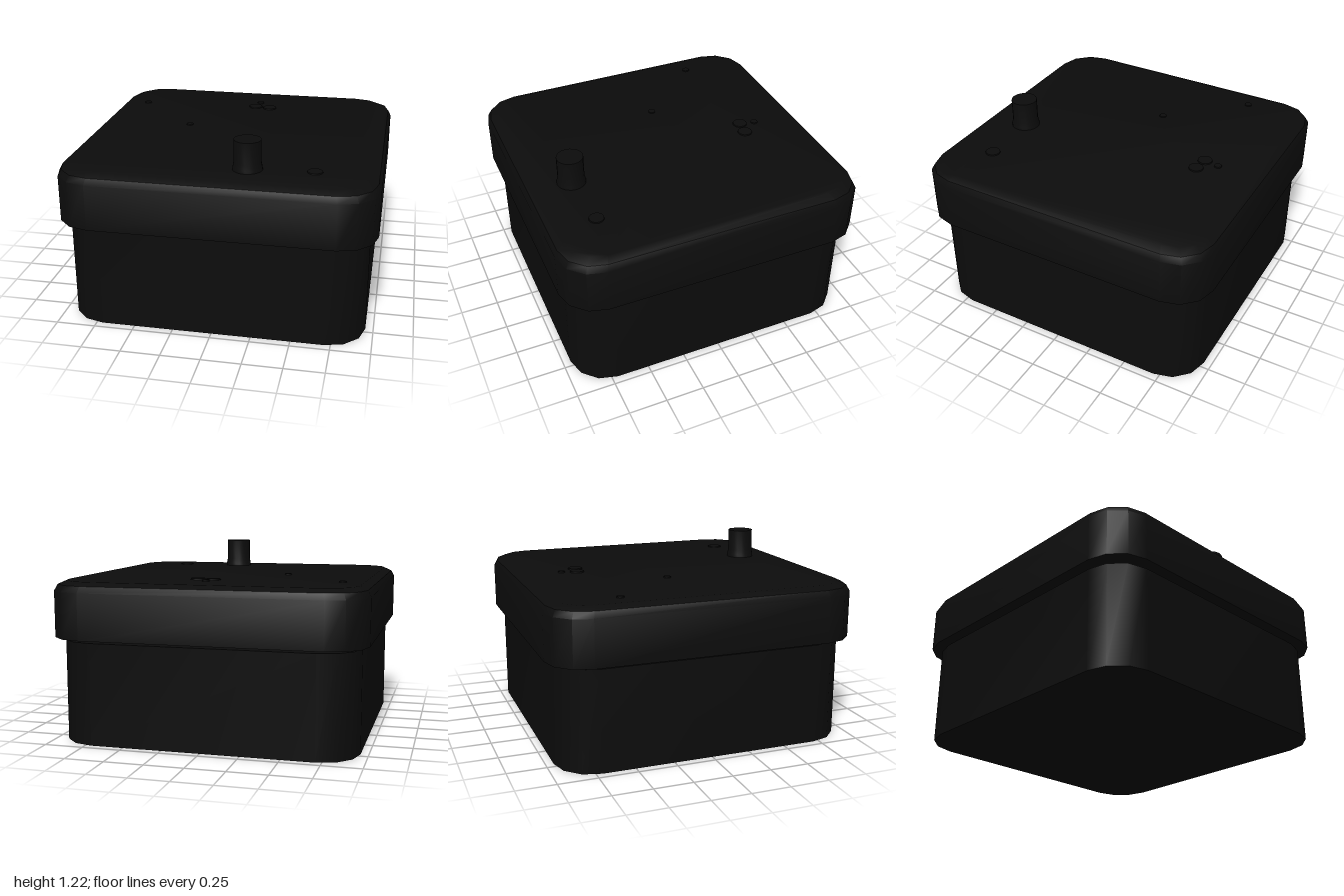
import * as THREE from 'three';
import { toCreasedNormals } from 'three/addons/utils/BufferGeometryUtils.js';

const black = new THREE.MeshStandardMaterial({ color: 0x0c0c0c });

// Outline of a rounded square, three facets per corner
function outline(half, radius) {
  const pts = [];
  for (let corner = 0; corner < 4; corner++) {
    for (let i = 0; i <= 3; i++) {
      const a = (corner + i / 3) * Math.PI / 2;
      const sx = corner === 0 || corner === 3 ? 1 : -1;
      const sz = corner < 2 ? 1 : -1;
      pts.push([sx * (half - radius) + radius * Math.cos(a), sz * (half - radius) + radius * Math.sin(a)]);
    }
  }
  return pts;
}

// Closed solid lofted through rings of [y, half width, corner radius]
function loft(rings) {
  const pos = [], index = [], n = 16;
  for (const [y, half, radius] of rings) {
    for (const [x, z] of outline(half, radius)) pos.push(x, y, z);
  }
  for (let r = 0; r < rings.length - 1; r++) {
    for (let i = 0; i < n; i++) {
      const a = r * n + i, b = r * n + (i + 1) % n;
      index.push(a, a + n, b, b, a + n, b + n);
    }
  }
  const top = (rings.length - 1) * n;
  for (let i = 1; i < n - 1; i++) {
    index.push(0, i, i + 1, top, top + i + 1, top + i);
  }
  const geo = new THREE.BufferGeometry();
  geo.setAttribute('position', new THREE.Float32BufferAttribute(pos, 3));
  geo.setIndex(index);
  return toCreasedNormals(geo, 0.6);
}

function add(group, name, geometry, x = 0, y = 0, z = 0) {
  const mesh = new THREE.Mesh(geometry, black);
  mesh.name = name;
  mesh.position.set(x, y, z);
  group.add(mesh);
}

export function createModel() {
  const group = new THREE.Group();
  group.name = 'enclosure';

  // Lower box and the separate lid with a rounded top edge
  add(group, 'base', loft([[0, 0.95, 0.24], [0.65, 0.95, 0.24]]));
  add(group, 'lid', loft([
    [0.67, 1, 0.24], [0.965, 1, 0.24], [1.005, 0.98, 0.23], [1.028, 0.93, 0.2],
  ]));

  // Control knob with a slightly flared foot
  const profile = [[0.094, 0], [0.092, 0.02], [0.085, 0.055], [0.085, 0.195], [0, 0.195]]
    .map(([r, y]) => new THREE.Vector2(r, y));
  add(group, 'knob', toCreasedNormals(new THREE.LatheGeometry(profile, 20), 0.6), 0.185, 1.025, 0.7);

  // Low studs on the lid: x, z, radius
  const studs = [
    [-0.8, -0.54, 0.025], [-0.365, -0.08, 0.025], [0.035, -0.68, 0.025],
    [0.015, -0.58, 0.05], [0.12, -0.565, 0.05], [0.595, 0.68, 0.05],
  ];
  for (const [x, z, r] of studs) {
    add(group, 'stud', new THREE.CylinderGeometry(r * 0.95, r, 0.016, 12), x, 1.028, z);
  }
  return group;
}
